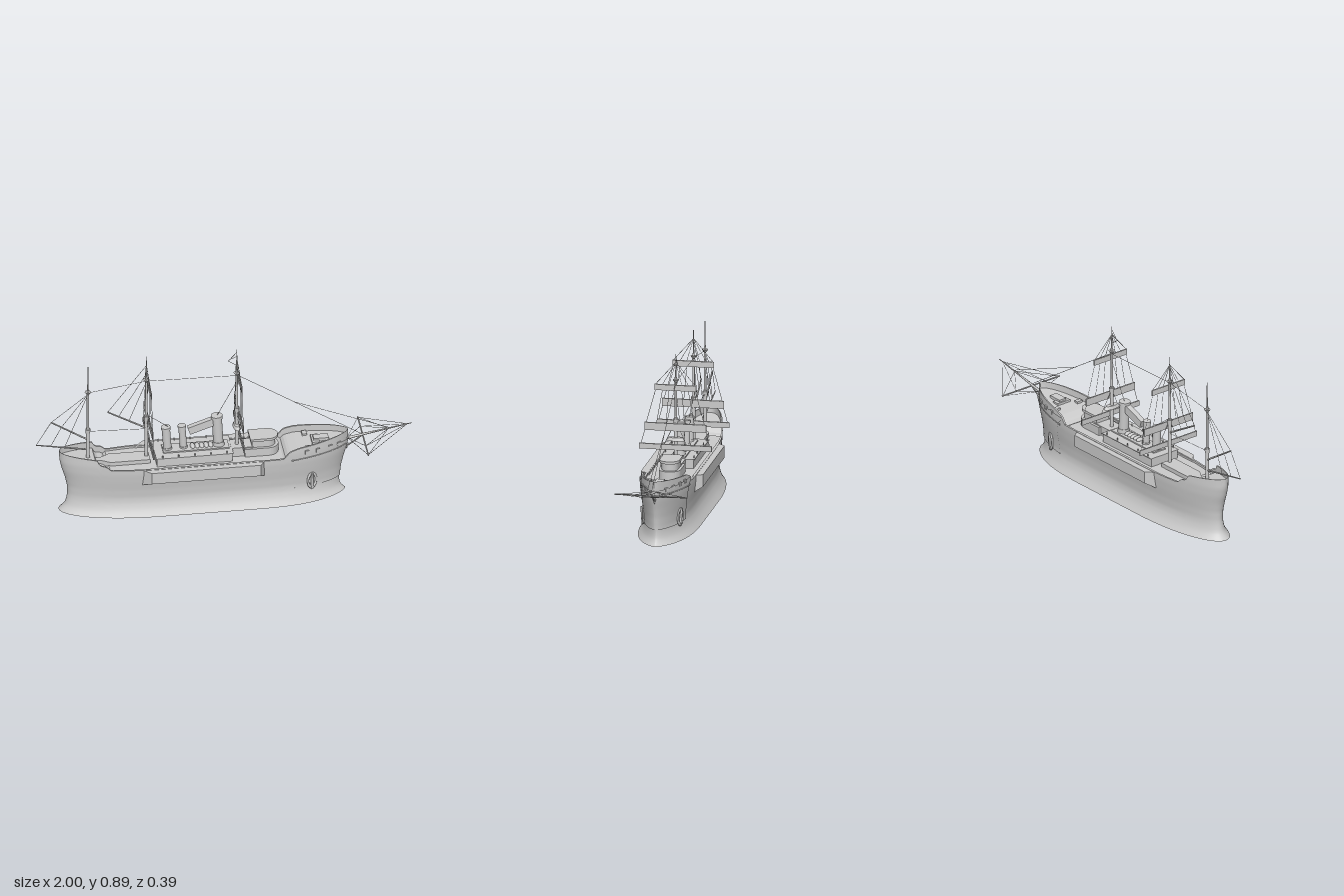
import * as THREE from 'three';

const grey = new THREE.MeshStandardMaterial({ color: 0xcccccc, side: THREE.DoubleSide });
const V = (x, y, z = 0) => new THREE.Vector3(x, y, z);

// linear lookup in rows of [key, v1, v2, ...]
function lookup(rows, k, c = 1) {
  if (k <= rows[0][0]) return rows[0][c];
  for (let i = 1; i < rows.length; i++) {
    const a = rows[i - 1], b = rows[i];
    if (k <= b[0]) return a[c] + (b[c] - a[c]) * (k - a[0]) / (b[0] - a[0]);
  }
  return rows[rows.length - 1][c];
}

// hull height y -> stern x, bow x, half width
const LINES = [[0, -0.88, 0.64, 0.156], [0.02, -0.858, 0.619, 0.143], [0.04, -0.846, 0.61, 0.132],
  [0.07, -0.838, 0.606, 0.121], [0.1, -0.834, 0.607, 0.117], [0.15, -0.837, 0.613, 0.121],
  [0.2, -0.848, 0.625, 0.128], [0.25, -0.864, 0.64, 0.133], [0.3, -0.875, 0.651, 0.134], [0.36, -0.877, 0.656, 0.13]];
const SHEER = [[-0.88, 0.357], [-0.69, 0.338], [-0.675, 0.308], [-0.64, 0.3], [-0.62, 0.278],
  [0.3, 0.278], [0.33, 0.315], [0.38, 0.33], [0.66, 0.36]];
const sheer = x => lookup(SHEER, x);

// point on the hull side: x0 = nominal station, y = height, s = side, off = outward offset
function hullPoint(x0, y, s, off = 0, scale = 1) {
  const w = lookup(LINES, y, 3);
  let x = x0, f = 1;
  if (x0 < -0.35) {
    const k = Math.min(1, (-0.35 - x0) / 0.525);
    x = -0.35 + k * (lookup(LINES, y, 1) - off + 0.35);
    f = Math.sqrt(Math.max(0, 1 - k * k));
  } else if (x0 > 0.1) {
    const k = Math.min(1, (x0 - 0.1) / 0.555);
    x = 0.1 + k * (lookup(LINES, y, 2) + off - 0.1);
    f = Math.pow(Math.max(0, 1 - k ** 3), 0.7);
  }
  return V(x, y, s * (w * f + (f > 0 ? off : 0)) * scale);
}

// surface from a grid of points
function grid(nu, nv, fn, flat = false) {
  const pos = [], idx = [];
  for (let i = 0; i <= nu; i++) for (let j = 0; j <= nv; j++) pos.push(...fn(i, j).toArray());
  for (let i = 0; i < nu; i++) for (let j = 0; j < nv; j++) {
    const a = i * (nv + 1) + j, b = a + nv + 1;
    idx.push(a, b, a + 1, b, b + 1, a + 1);
  }
  let g = new THREE.BufferGeometry();
  g.setAttribute('position', new THREE.Float32BufferAttribute(pos, 3));
  g.setIndex(idx);
  if (flat) g = g.toNonIndexed();
  g.computeVertexNormals();
  return g;
}

export function createModel() {
  const ship = new THREE.Group();
  ship.name = 'ship';
  const add = (name, geo, x = 0, y = 0, z = 0) => {
    const m = new THREE.Mesh(geo, grey);
    m.name = name;
    m.position.set(x, y, z);
    ship.add(m);
    return m;
  };
  const box = (name, x0, x1, y0, y1, z0, z1) => add(name,
    new THREE.BoxGeometry(x1 - x0, y1 - y0, z1 - z0), (x0 + x1) / 2, (y0 + y1) / 2, (z0 + z1) / 2);
  const rod = (name, a, b, r0, r1 = r0, sides = 8) => {
    const m = add(name, new THREE.CylinderGeometry(r1, r0, a.distanceTo(b), sides));
    m.position.copy(a).lerp(b, 0.5);
    m.quaternion.setFromUnitVectors(V(0, 1), b.clone().sub(a).normalize());
    return m;
  };
  const rope = (a, b) => rod('rigging', a, b, 0.0013, 0.0013, 4);
  // plan outline [x, z] pulled up from y0 to y1
  const slab = (name, pts, y0, y1) => {
    const g = new THREE.ExtrudeGeometry(new THREE.Shape(pts.map(p => new THREE.Vector2(p[0], -p[1]))),
      { depth: y1 - y0, bevelEnabled: false });
    g.rotateX(-Math.PI / 2);
    return add(name, g, 0, y0, 0);
  };

  const N = 150, station = i => -0.11 - 0.765 * Math.cos(Math.PI * i / N);
  for (const s of [1, -1]) {
    // hull side, open below
    add('hullSide', grid(N, 26, (i, j) => hullPoint(station(i), sheer(station(i)) * j / 26, s)));

    // bulwark cap, inner wall and deck
    add('deck', grid(N, 3, (i, j) => {
      const x0 = station(i), top = sheer(x0), low = top - (top > 0.29 ? 0.036 : 0.012);
      const p = hullPoint(x0, top, s, 0, [1, 0.92, 0.92, 0][j]);
      if (j > 1) p.y = low;
      return p;
    }, true));

    // raised bow plating with a curved rear edge
    const rear = y => 0.38 - 0.06 * Math.max(0, (y - 0.2) / 0.1) ** 2;
    add('bowPlating', grid(40, 16, (i, j) => {
      const y = 0.085 + 0.225 * j / 16, a = Math.max(0.325, rear(y));
      return hullPoint(a + (0.655 - a) * Math.sin(i / 40 * Math.PI / 2), y, s, 0.005);
    }));
    add('bowPlatingEdge', grid(40, 1, (i, j) =>
      hullPoint(0.38 + 0.275 * Math.sin(i / 40 * Math.PI / 2), 0.085, s, 0.005 * j), true));

    // rub rail below the forecastle ports
    const rail = [];
    for (let i = 0; i <= 20; i++) rail.push(hullPoint(0.34 + 0.315 * i / 20, 0.265 + 0.02 * i / 20, s, 0.004));
    add('bowRail', new THREE.TubeGeometry(new THREE.CatmullRomCurve3(rail), 40, 0.004, 6));

    // gun ports along the bow
    for (const x of [0.42, 0.48, 0.55, 0.6]) {
      const p = hullPoint(x, 0.305, s, 0.004), q = hullPoint(x + 0.01, 0.305, s, 0.004);
      const port = add('gunPort', new THREE.BoxGeometry(0.022, 0.02, 0.008), p.x, p.y, p.z);
      port.rotation.y = -Math.atan2(q.z - p.z, q.x - p.x);
    }

    // anchor on the bow
    const c = hullPoint(0.475, 0.12, s, 0.008);
    const ring = add('anchorRing', new THREE.TorusGeometry(0.024, 0.006, 8, 24), c.x, c.y, c.z);
    ring.scale.y = 1.7;
    ring.rotation.y = s * 0.35;
    rod('anchorShank', V(c.x, 0.07, c.z), V(c.x, 0.165, c.z + s * 0.008), 0.008, 0.006);

    // side sponson: tapered ends, sloping underside
    const g = new THREE.BoxGeometry(0.66, 0.095, 0.05);
    const p = g.attributes.position;
    for (let i = 0; i < p.count; i++) if (p.getZ(i) * s > 0) {
      p.setX(i, p.getX(i) > 0 ? 0.3 : -0.28);
      if (p.getY(i) < 0) p.setY(i, -0.018);
    }
    g.computeVertexNormals();
    add('sponson', g, -0.13, 0.2285, s * 0.142);
  }

  // stern walkway and midship houses
  slab('sternWalkway', [[-0.7, -0.015], [-0.66, -0.015], [-0.61, -0.045], [-0.4, -0.045],
    [-0.4, 0.045], [-0.61, 0.045], [-0.66, 0.015], [-0.7, 0.015]], 0.26, 0.288);
  box('mainHouse', -0.37, 0.03, 0.26, 0.312, -0.088, 0.088);
  box('houseRoof', -0.375, 0.035, 0.312, 0.316, -0.093, 0.093);
  box('upperHouse', -0.33, 0.02, 0.31, 0.323, -0.04, 0.04);
  box('foreHouse', 0.03, 0.16, 0.26, 0.318, -0.045, 0.045);
  const round = (x0, x1, r) => {
    const pts = [[x0, r], [x0, -r]];
    for (let i = 0; i <= 16; i++) {
      const a = -Math.PI / 2 + Math.PI * i / 16;
      pts.push([x1 - r + r * Math.cos(a), r * Math.sin(a)]);
    }
    return pts;
  };
  slab('bridgeBase', round(0.1, 0.285, 0.058), 0.26, 0.312);
  slab('bridgeHouse', round(0.14, 0.268, 0.043), 0.31, 0.352);
  slab('bridgeRoof', round(0.13, 0.282, 0.053), 0.352, 0.366);
  for (let i = 0; i < 5; i++)
    add('skylight', new THREE.SphereGeometry(0.013, 12, 8), -0.17 + i * 0.024, 0.325, 0).scale.z = 2;
  for (const s of [1, -1]) for (let i = 0; i < 5; i++)
    rod('railPost', V(-0.34 + i * 0.085, 0.31, s * 0.085), V(-0.34 + i * 0.085, 0.33, s * 0.085), 0.003);

  // forecastle fittings
  box('windlass', 0.47, 0.55, 0.29, 0.325, -0.022, 0.022);
  box('windlassBase', 0.46, 0.5, 0.29, 0.315, -0.042, 0.042);
  for (const s of [1, -1]) box('hatch', 0.42, 0.445, 0.29, 0.31, s * 0.075 - 0.018, s * 0.075 + 0.018);

  // funnels with collars, raked slightly aft
  for (const [x, r, top] of [[-0.3, 0.022, 0.453], [-0.215, 0.019, 0.455], [-0.03, 0.027, 0.5]]) {
    const a = V(x, 0.28), b = V(x - 0.012, top);
    rod('funnel', a, b, r, r, 20);
    rod('funnelCap', a.clone().lerp(b, 0.93), a.clone().lerp(b, 1.01), r * 1.15, r * 1.15, 20);
    rod('funnelFoot', a, a.clone().lerp(b, 0.3), r * 1.3, r * 1.1, 20);
  }
  const flue = add('crossFlue', new THREE.BoxGeometry(0.145, 0.042, 0.03), -0.122, 0.447, 0);
  flue.rotation.z = 0.33;

  // masts with tops
  for (const [x, y0, top, t1, t2] of [[-0.725, 0.3, 0.86, 0.7, 0.465], [-0.415, 0.26, 0.895, 0.75, 0.52], [0.065, 0.3, 0.895, 0.75, 0.53]]) {
    rod('lowerMast', V(x, y0), V(x, t2 + 0.02), 0.01, 0.009, 10);
    rod('upperMast', V(x, t2), V(x, t1 + 0.02), 0.0065, 0.006, 10);
    rod('topMast', V(x, t1), V(x, top), 0.004, 0.002);
    rod('crowsNest', V(x, t1 - 0.01), V(x, t1 + 0.006), 0.006, 0.017, 12);
    rod('mastCap', V(x, t2 - 0.012), V(x, t2 + 0.012), 0.012, 0.014, 12);
  }
  const top = rod('fightingTop', V(0.065, 0.425), V(0.065, 0.442), 0.022, 0.016, 16);
  top.scale.z = 2.3;

  // square yards with furled sails and shrouds
  for (const x of [-0.415, 0.065]) {
    const f = x + 0.012;
    for (const [y, h, w] of [[0.403, 0.028, 0.194], [0.518, 0.04, 0.165], [0.728, 0.03, 0.111]]) {
      rod('yard', V(f, y, -w), V(f, y, w), 0.0035, 0.0035, 6);
      box('furledSail', f - 0.003, f + 0.003, y - h, y, -w, w);
    }
    for (const s of [1, -1]) {
      for (const k of [1, 0.65, 0.32]) {
        rope(V(x, 0.85), V(f, 0.728, s * 0.108 * k));
        rope(V(f, 0.7, s * 0.106 * k), V(f, 0.518, s * 0.156 * k));
      }
      rope(V(f, 0.48, s * 0.163), V(f, 0.403, s * 0.184));
      rope(V(x, 0.53), V(f, 0.403, s * 0.06));
    }
  }

  // gaffs and booms aft of the rear masts
  const A = -0.725, B = -0.415, C = 0.065;
  rod('boom', V(A, 0.352), V(-1, 0.402), 0.005, 0.003);
  rod('gaff', V(A, 0.412), V(-0.92, 0.535), 0.005, 0.004);
  rod('gaff', V(B, 0.457), V(-0.62, 0.572), 0.005, 0.004);
  for (const k of [1, 0.72, 0.45]) {
    rope(V(A, 0.69), V(A - 0.195 * k, 0.412 + 0.123 * k));
    rope(V(A - 0.195 * k, 0.412 + 0.123 * k), V(A - 0.275 * k, 0.352 + 0.05 * k));
    rope(V(B, 0.66 + 0.18 * k), V(B - 0.205 * k, 0.457 + 0.115 * k));
  }

  // bowsprit, its cross yard and striker
  rod('bowsprit', V(0.58, 0.288), V(0.995, 0.364), 0.009, 0.002);
  rod('crossYard', V(0.735, 0.304, -0.195), V(0.735, 0.304, 0.195), 0.004);
  rod('striker', V(0.645, 0.25), V(0.75, 0.325), 0.004);
  const tip = add('stemOrnament', new THREE.ConeGeometry(0.011, 0.035, 10), 0.648, 0.25, 0);
  tip.rotation.z = Math.PI;
  for (const s of [1, -1]) for (const [x, y] of [[0.97, 0.36], [0.87, 0.341], [0.65, 0.305]]) {
    rope(V(0.735, 0.304, s * 0.19), V(x, y));
    rope(V(0.735, 0.304, s * 0.1), V(x, y));
  }

  // stays between masts and to the bow
  for (const [a, b] of [[V(A, 0.7), V(B, 0.745)], [V(B, 0.745), V(C, 0.737)], [V(A, 0.463), V(B, 0.452)],
    [V(C, 0.742), V(0.735, 0.315)], [V(0.36, 0.552), V(0.88, 0.343)], [V(B, 0.54), V(-0.3, 0.455)],
    [V(C, 0.7), V(-0.04, 0.5)], [V(C, 0.88), V(0.02, 0.83)], [V(0.02, 0.83), V(C, 0.8)], [V(0.02, 0.835), V(C, 0.855)]]) rope(a, b);
  return ship;
}
